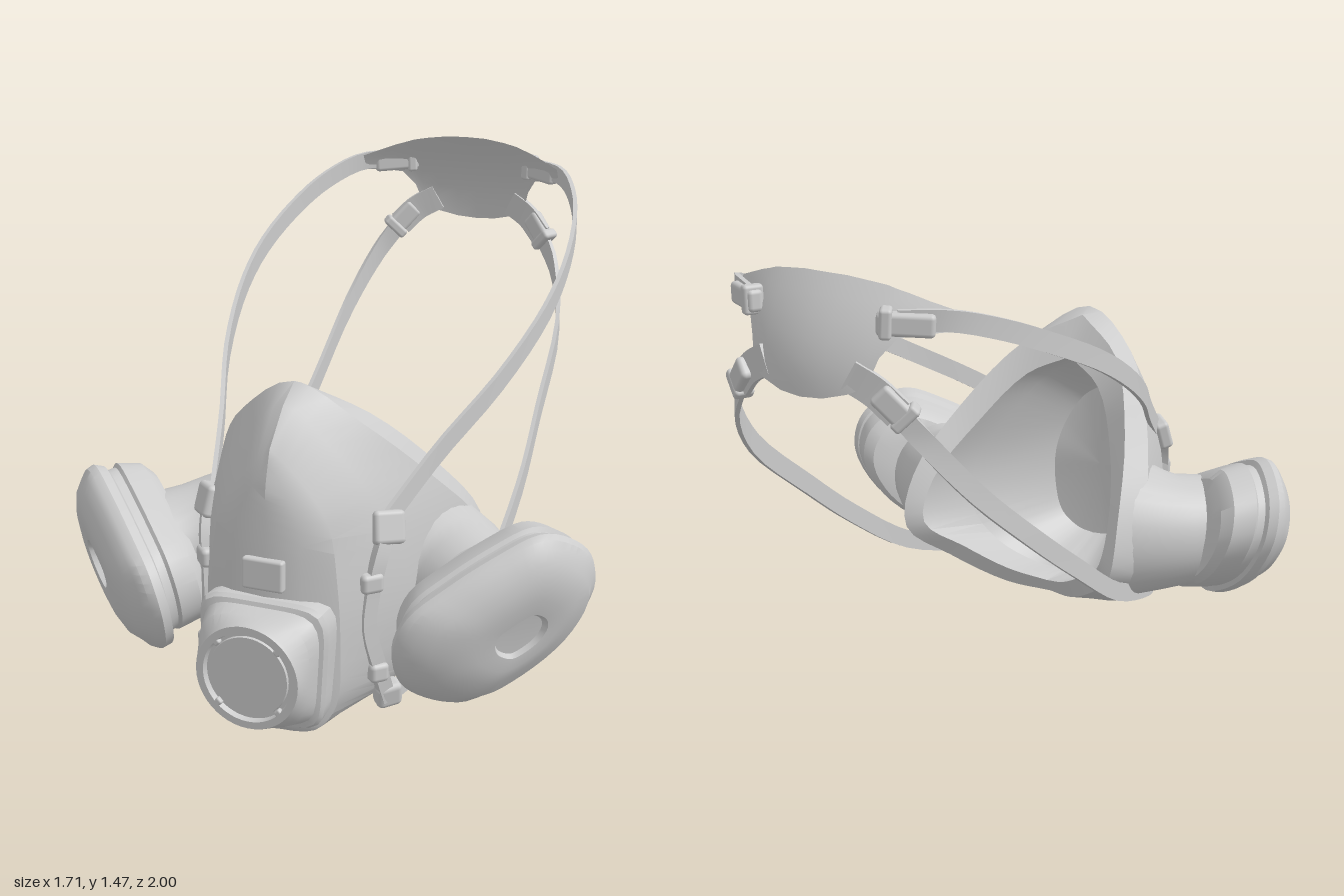
import * as THREE from 'three';
import { toCreasedNormals } from 'three/addons/utils/BufferGeometryUtils.js';
import { RoundedBoxGeometry } from 'three/addons/geometries/RoundedBoxGeometry.js';

const V = (x, y, z) => new THREE.Vector3(x, y, z);
const grey = new THREE.MeshStandardMaterial({ color: 0xcccccc });
const greyDouble = new THREE.MeshStandardMaterial({ color: 0xcccccc, side: THREE.DoubleSide });

function makeMesh(name, geometry, material = grey) {
  const mesh = new THREE.Mesh(geometry, material);
  mesh.name = name;
  return mesh;
}

// Skin a list of equal-length closed rings (clockwise when seen from the last ring).
function loft(rings, crease = 0.6) {
  const n = rings[0].length, index = [];
  for (let k = 0; k < rings.length - 1; k++) {
    for (let i = 0; i < n; i++) {
      const a = k * n + i, b = k * n + (i + 1) % n;
      index.push(a, a + n, b, b, a + n, b + n);
    }
  }
  const geo = new THREE.BufferGeometry().setFromPoints(rings.flat());
  geo.setIndex(index);
  return toCreasedNormals(geo, crease);
}

function smoothRing(points, count) {
  const curve = new THREE.CatmullRomCurve3(points, true, 'centripetal');
  return Array.from({ length: count }, (_, i) => curve.getPoint(i / count));
}

const mirrorHalf = left => [...left, ...left.slice(1, -1).reverse().map(p => V(-p.x, p.y, p.z))];

// Left half profile from top to bottom, mirrored into a ring that keeps its centre ridge.
const ridgedRing = half =>
  mirrorHalf(new THREE.CatmullRomCurve3(half.map(p => V(...p)), false, 'centripetal').getPoints(28));

// The same with a rounded centre.
const roundedRing = half => smoothRing(mirrorHalf(half.map(p => V(...p))), 56);

// Flat band swept along a path; ref fixes the direction the flat side faces.
function band(points, width, thick, ref, steps = 28) {
  const curve = new THREE.CatmullRomCurve3(points.map(p => V(...p)));
  const rings = [];
  for (let i = 0; i <= steps; i++) {
    const p = curve.getPoint(i / steps), t = curve.getTangent(i / steps);
    const r = (ref ? ref.clone().addScaledVector(t, -t.dot(ref)) : V(0, 1, 0).cross(t)).normalize();
    const u = t.clone().cross(r);
    const corner = (a, b) => p.clone().addScaledVector(r, a * thick / 2).addScaledVector(u, b * width / 2);
    const ring = [corner(1, 1), corner(1, -1), corner(-1, -1), corner(-1, 1)];
    if (i === 0) rings.push(ring.map(() => p.clone()));
    rings.push(ring);
    if (i === steps) rings.push(ring.map(() => p.clone()));
  }
  return loft(rings, 0.5);
}

function box(name, [w, h, d], [x, y, z], [rx, ry, rz] = [0, 0, 0]) {
  const mesh = makeMesh(name, new RoundedBoxGeometry(w, h, d, 2, Math.min(w, h, d) * 0.3));
  mesh.position.set(x, y, z);
  mesh.rotation.set(rx, ry, rz, 'YXZ');
  return mesh;
}

// Baked mirror copy across x = 0 with the winding put right.
function mirrored(mesh) {
  mesh.updateMatrix();
  const src = mesh.geometry.index ? mesh.geometry.toNonIndexed() : mesh.geometry.clone();
  src.applyMatrix4(mesh.matrix).scale(-1, 1, 1);
  for (const key of ['position', 'normal']) {
    const a = src.attributes[key].array;
    for (let i = 0; i < a.length; i += 9) {
      for (let j = 3; j < 6; j++) [a[i + j], a[i + j + 3]] = [a[i + j + 3], a[i + j]];
    }
  }
  return makeMesh(mesh.name.replace('left', 'right'), src, mesh.material);
}

// Face piece: inner bowl, sealing lip, outer shell and front panel in one skin.
function faceMask() {
  const innerFront = [[0, .7, .75], [.07, .65, .74], [.13, .55, .72], [.16, .44, .7], [.16, .3, .7], [.13, .2, .7], [.06, .15, .7], [0, .14, .7]];
  const innerMid = [[0, .84, .62], [.13, .76, .58], [.23, .62, .48], [.31, .45, .38], [.31, .3, .36], [.24, .16, .42], [.11, .08, .48], [0, .07, .5]];
  const innerLip = [[0, .87, .505], [.14, .8, .45], [.26, .64, .32], [.345, .46, .16], [.345, .32, .1], [.24, .22, .19], [.11, .13, .28], [0, .08, .36]];
  const rim = [[0, 1, .59], [.18, .9, .5], [.32, .7, .31], [.4, .48, .12], [.4, .3, .072], [.29, .18, .18], [.13, .07, .3], [0, .03, .385]];
  const outer = [[0, 1.02, .64], [.19, .9, .59], [.34, .71, .43], [.445, .48, .23], [.44, .28, .18], [.34, .11, .32], [.17, .02, .43], [0, .01, .47]];
  const mid = [[0, .97, .72], [.13, .86, .7], [.25, .7, .65], [.33, .48, .59], [.34, .28, .58], [.28, .09, .6], [.16, .01, .62], [0, .005, .62]];
  const panelEdge = [[0, .87, .815], [.09, .78, .805], [.17, .66, .8], [.2, .48, .805], [.21, .28, .81], [.2, .1, .82], [.14, .02, .84], [0, .01, .86]];
  const panel = [[0, .84, .826], [.05, .76, .835], [.1, .64, .845], [.11, .47, .855], [.11, .28, .865], [.11, .1, .87], [.08, .04, .875], [0, .03, .88]];
  const spine = panel.map(([, y, z], i) => [0, y, z + (i % 7 ? .014 : 0)]);
  const bottom = innerFront.map(() => [0, .4, .74]);
  const rings = [
    ...[bottom, innerFront, innerMid, innerLip, rim].map(ridgedRing),
    ...[outer, mid].map(roundedRing),
    ...[panelEdge, panel, spine].map(ridgedRing),
  ];
  return makeMesh('faceMask', loft(rings, 0.5));
}

// Exhalation valve: a square housing that blends into a round recessed cover.
function valve() {
  const group = new THREE.Group();
  group.name = 'exhalationValve';
  const ring = (r, power, z) => Array.from({ length: 48 }, (_, i) => {
    const a = -i / 48 * Math.PI * 2, c = Math.cos(a), s = Math.sin(a);
    const k = r / Math.pow(Math.abs(c) ** power + Math.abs(s) ** power, 1 / power);
    const taper = power > 2 ? 1 + .07 * s : 1;
    return V(c * k * taper, 0.24 + s * k, z);
  });
  const profile = [[.19, 6, .78], [.196, 6, .82], [.198, 6, .88], [.19, 6, .895], [.178, 5, .9],
    [.172, 3.2, .95], [.165, 2, .99], [.16, 2, 1], [.138, 2, 1], [.134, 2, .982], [.124, 2, .982], [.122, 2, .99], [0, 2, .99]];
  group.add(makeMesh('valveHousing', loft(profile.map(p => ring(...p)), 0.5)));
  for (let i = 0; i < 4; i++) {
    const a = Math.PI / 4 + i * Math.PI / 2;
    group.add(box('valveTab', [.035, .022, .02], [Math.cos(a) * .142, .24 + Math.sin(a) * .142, .99], [0, 0, a]));
  }
  return group;
}

// Filter cartridge on the left side, facing out and forward.
function filterParts() {
  const outline = [[.295, .06], [.27, .17], [.19, .24], [.09, .27], [-.05, .22], [-.2, .14], [-.31, .06], [-.345, -.05],
    [-.31, -.16], [-.22, -.235], [-.1, -.275], [.06, -.215], [.22, -.09]].reverse();
  const base = smoothRing(outline.map(([u, v]) => V(u, v, 0)), 52);
  const q = Math.SQRT1_2;
  // Layers from back to front: depth, scale, sideways and upward shift
  const layers = [[-.165, 0, .03, .01], [-.165, .55, .03, .01], [-.155, .76, .03, .01], [-.125, .86, .03, .015], [-.05, .91, .02, .015],
    [-.04, .88, .02, .01], [-.012, .89, .01, .005], [-.004, .97, 0, 0], [.025, 1, 0, 0], [.05, .96, 0, 0], [.07, .88, 0, 0],
    [.095, .78, .01, -.01], [.115, .6, .01, -.01], [.122, .42, .02, -.02], [.118, .26, .025, -.025], [.098, .23, .025, -.025], [.095, 0, .025, -.025]];
  const rings = layers.map(([n, s, du, dv]) => base.map(p => {
    const u = p.x * s + du, v = p.y * s + dv, d = n + .2 * v;
    return V(.605 + (u + d) * q, .35 + v, .56 + (d - u) * q);
  }));
  // Neck: centre x, y, z, heading of the horizontal radius, radii
  const neck = [[.36, .365, .35, .25, .22, .23], [.425, .36, .39, .5, .2, .205], [.47, .355, .43, .707, .185, .19], [.53, .35, .49, .707, .185, .185]];
  const neckRings = neck.map(([x, y, z, h, rx, ry]) => Array.from({ length: 32 }, (_, i) => {
    const a = -i / 32 * Math.PI * 2, c = Math.cos(a) * rx;
    return V(x + c * h, y + Math.sin(a) * ry, z - c * Math.sqrt(1 - h * h));
  }));
  return [makeMesh('leftFilter', loft(rings, 0.5)), makeMesh('leftFilterNeck', loft(neckRings, 1))];
}

// Straps, buckles and clips of the left side.
function harnessParts() {
  const upper = [[.28, .62, .63], [.36, .77, .4], [.46, .92, .15], [.52, 1.06, -.1], [.53, 1.165, -.3],
    [.5, 1.265, -.52], [.45, 1.33, -.67], [.37, 1.375, -.8], [.25, 1.38, -.89]];
  const lower = [[.29, .06, .62], [.37, .12, .42], [.415, .24, .1], [.43, .44, -.2], [.415, .63, -.45],
    [.395, .86, -.73], [.335, 1.03, -.87], [.25, 1.16, -.935]];
  const clip = [[.29, .6, .65], [.28, .52, .69], [.265, .42, .71], [.26, .32, .72], [.28, .18, .69], [.295, .06, .65]];
  const tab = [[.14, 1.23, -.965], [.21, 1.19, -.945], [.27, 1.13, -.92]];
  return [
    makeMesh('leftUpperStrap', band(upper, .06, .014)),
    makeMesh('leftLowerStrap', band(lower, .06, .014)),
    makeMesh('leftSideClip', band(clip, .045, .03, V(.8, 0, .6))),
    makeMesh('leftHeadPadTab', band(tab, .09, .016, V(-.4, 0, 1))),
    box('leftUpperBuckle', [.1, .1, .05], [.29, .61, .64], [-.3, .8, -.1]),
    box('leftUpperLatch', [.07, .06, .05], [.265, .46, .71], [0, .8, 0]),
    box('leftLowerLatch', [.06, .06, .05], [.28, .17, .695], [0, .8, 0]),
    box('leftLowerBuckle', [.08, .08, .06], [.29, .075, .64], [.2, .8, .1]),
    box('leftUpperPadBuckle', [.16, .065, .045], [.27, 1.37, -.88], [0, -.55, -.05]),
    box('leftUpperPadLoop', [.035, .085, .06], [.225, 1.375, -.91], [0, -.55, -.05]),
    box('leftLowerPadBuckle', [.12, .07, .045], [.26, 1.15, -.93], [0, -.5, -.8]),
    box('leftLowerPadLoop', [.035, .09, .06], [.285, 1.12, -.91], [0, -.5, -.8]),
  ];
}

// Curved pad behind the head, drawn as columns between a top and a bottom edge.
function headPad() {
  const half = [[0, 1.475, 1.155], [.07, 1.474, 1.16], [.14, 1.466, 1.178], [.19, 1.458, 1.2], [.215, 1.45, 1.28],
    [.25, 1.44, 1.33], [.3, 1.422, 1.34], [.36, 1.4, 1.345]];
  const columns = [...half.slice(1).reverse().map(([x, t, b]) => [-x, t, b]), ...half];
  const rows = 6;
  const geo = new THREE.PlaneGeometry(1, 1, columns.length - 1, rows);
  const pos = geo.attributes.position;
  columns.forEach(([x, top, bot], c) => {
    for (let r = 0; r <= rows; r++) {
      const y = THREE.MathUtils.lerp(top, bot, r / rows), h = (y - 1.155) / .32;
      pos.setXYZ(r * columns.length + c, x, y, -1 + .13 * h * h + 1.1 * x * x);
    }
  });
  geo.computeVertexNormals();
  return makeMesh('headPad', geo, greyDouble);
}

export function createModel() {
  const model = new THREE.Group();
  model.name = 'respirator';
  model.add(faceMask(), valve(), headPad(), box('frontBadge', [.13, .095, .03], [0, .51, .872], [-.06, 0, 0]));
  for (const part of [...filterParts(), ...harnessParts()]) model.add(part, mirrored(part));
  return model;
}
